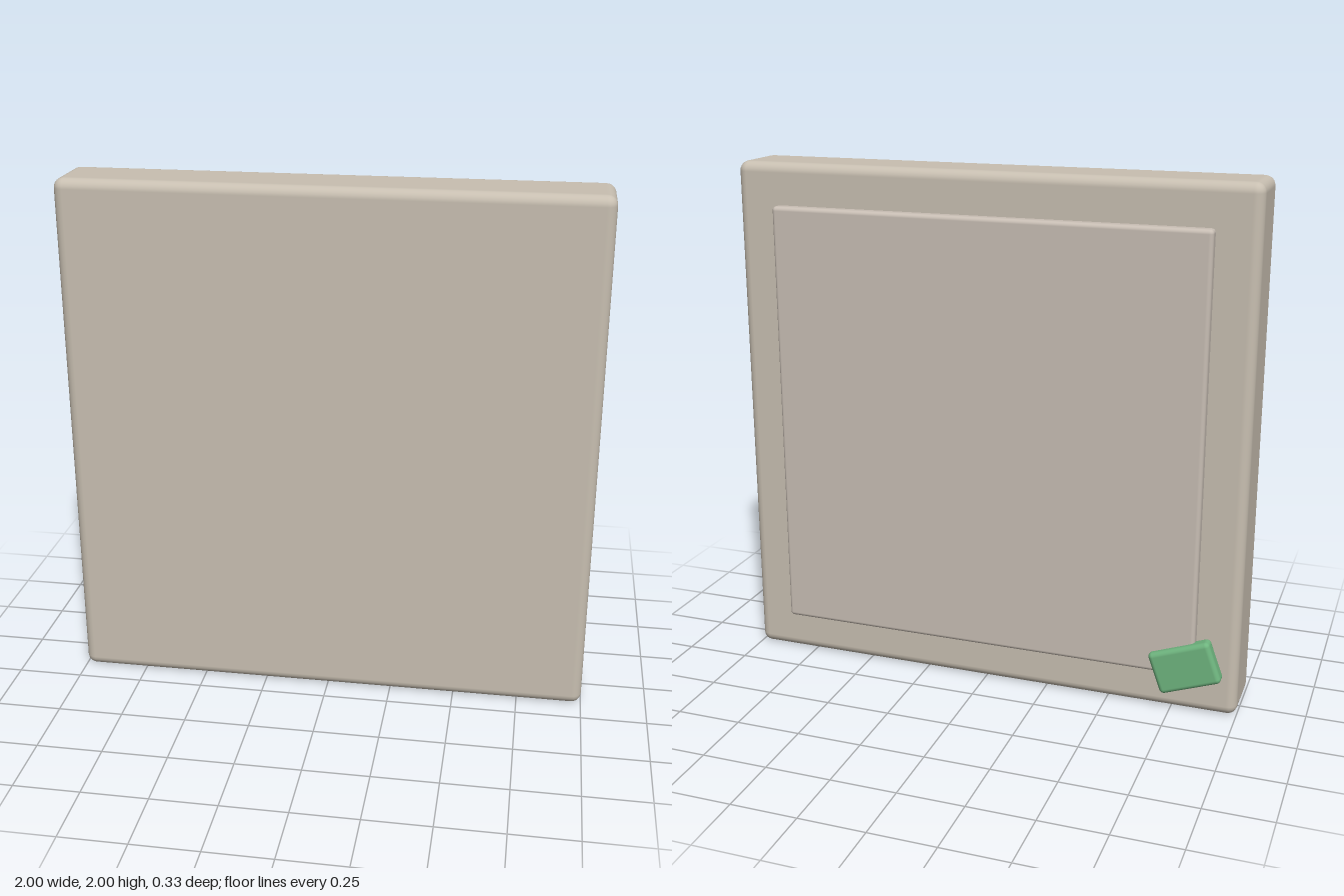
import * as THREE from 'three';
import { RoundedBoxGeometry } from 'three/addons/geometries/RoundedBoxGeometry.js';

export function createModel() {
  const model = new THREE.Group();
  model.name = 'wallTile';

  const material = (name, color) => {
    const m = new THREE.MeshStandardMaterial({ color });
    m.name = name;
    return m;
  };
  const stone = material('warm stone', 0xc8bfb1);
  const backing = material('pale backing', 0xc8beb4);
  const green = material('leaf green', 0x6fb57f);

  // Softly rounded block, given by its size and centre
  const block = (name, mat, size, radius, centre) => {
    const mesh = new THREE.Mesh(new RoundedBoxGeometry(...size, 3, radius), mat);
    mesh.name = name;
    mesh.position.set(...centre);
    model.add(mesh);
    return mesh;
  };

  // Main square slab
  block('slab', stone, [2, 2, 0.265], 0.038, [0, 1, 0.0325]);

  // Raised square panel on the back
  block('backPanel', backing, [1.68, 1.68, 0.08], 0.016, [0, 1, -0.1]);

  // Small tilted tag at the lower back corner
  const tag = block('tag', green, [0.243, 0.168, 0.06], 0.018, [-0.808, 0.2, -0.135]);
  tag.rotation.z = THREE.MathUtils.degToRad(-20);

  return model;
}
